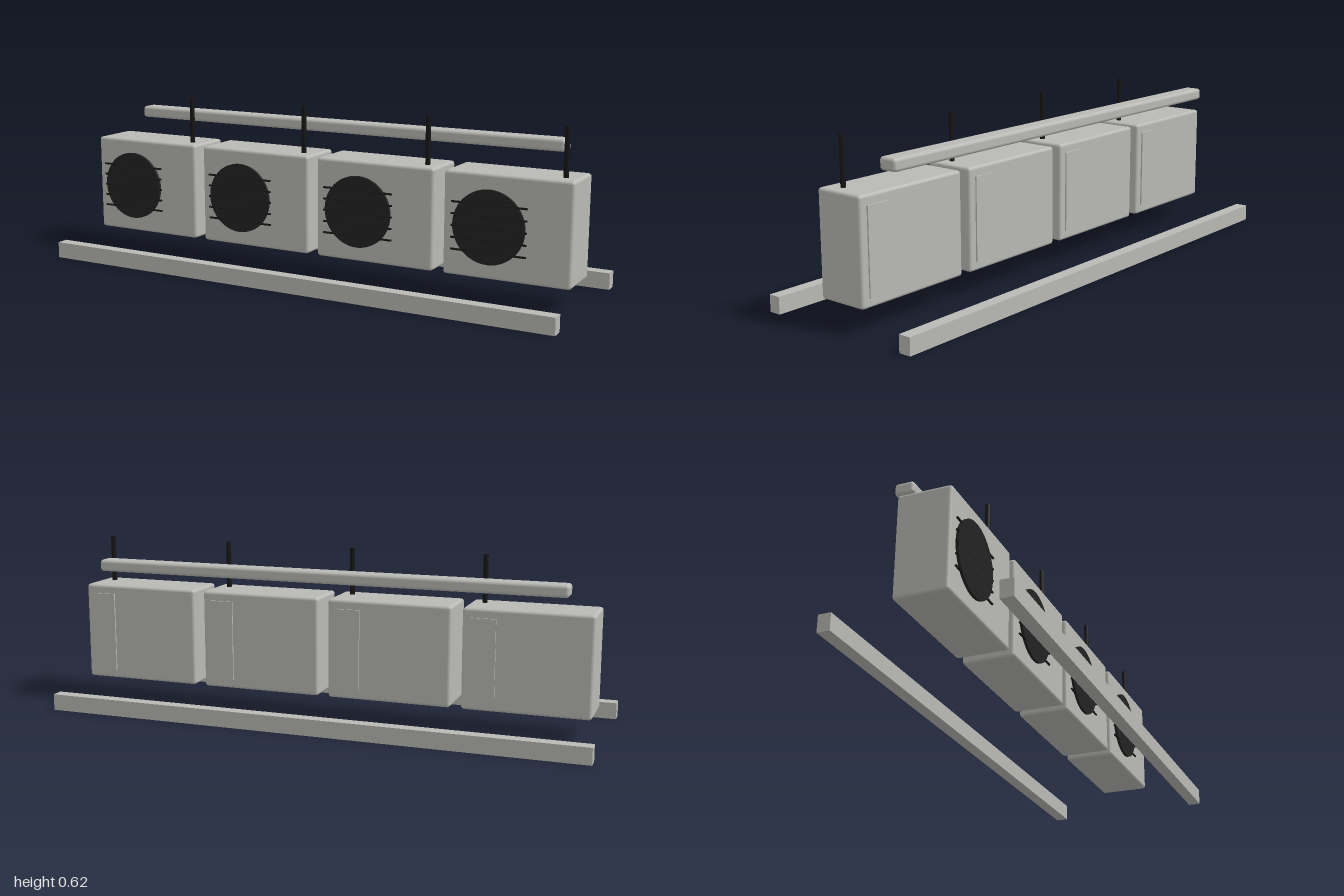
import * as THREE from 'three';
import { RoundedBoxGeometry } from 'three/addons/geometries/RoundedBoxGeometry.js';

function material(name, color) {
  const m = new THREE.MeshStandardMaterial({ color });
  m.name = name;
  return m;
}

export function createModel() {
  const casing = material('casing grey', 0xb9b9b5);
  const fan = material('fan charcoal', 0x232323);
  const black = material('pipe black', 0x151515);

  const model = new THREE.Group();
  model.name = 'outdoorUnitRow';

  function add(parent, name, geometry, mat, x, y, z) {
    const mesh = new THREE.Mesh(geometry, mat);
    mesh.name = name;
    mesh.position.set(x, y, z);
    parent.add(mesh);
    return mesh;
  }

  // Shared geometries
  const bodyGeo = new RoundedBoxGeometry(0.455, 0.362, 0.187, 3, 0.011);
  const fanGeo = new THREE.CylinderGeometry(0.129, 0.129, 0.011, 48).rotateX(Math.PI / 2);
  const barGeo = new THREE.CylinderGeometry(0.0038, 0.0038, 0.27, 8).rotateZ(Math.PI / 2);
  const pipeGeo = new THREE.CylinderGeometry(0.009, 0.009, 0.2, 12);
  const panelGeo = new THREE.BoxGeometry(0.09, 0.295, 0.012);

  // Four fan units in a row
  for (let i = 0; i < 4; i++) {
    const unit = new THREE.Group();
    unit.name = 'fanUnit' + (i + 1);
    unit.position.x = -0.735 + i * 0.494;
    add(unit, 'body', bodyGeo, casing, 0, 0.266, 0);
    add(unit, 'fanDisc', fanGeo, fan, -0.062, 0.266, 0.0975);
    // Horizontal guard bars across the fan
    for (let j = -2; j <= 2; j++) {
      add(unit, 'guardBar', barGeo, black, -0.062, 0.2605 + j * 0.0413, 0.0995);
    }
    add(unit, 'pipe', pipeGeo, black, 0.177, 0.518, 0.03);
    add(unit, 'rearServicePanel', panelGeo, casing, 0.153, 0.266, -0.093);
    model.add(unit);
  }

  // Rounded trunking behind the units
  add(model, 'trunking', new RoundedBoxGeometry(1.76, 0.044, 0.069, 3, 0.012), casing, 0, 0.531, -0.118);

  // Ground rails, front and rear
  const railGeo = new THREE.BoxGeometry(2, 0.06, 0.045);
  for (const side of [1, -1]) {
    add(model, side > 0 ? 'frontRail' : 'rearRail', railGeo, casing, 0, 0.03, side * 0.295);
  }

  return model;
}
